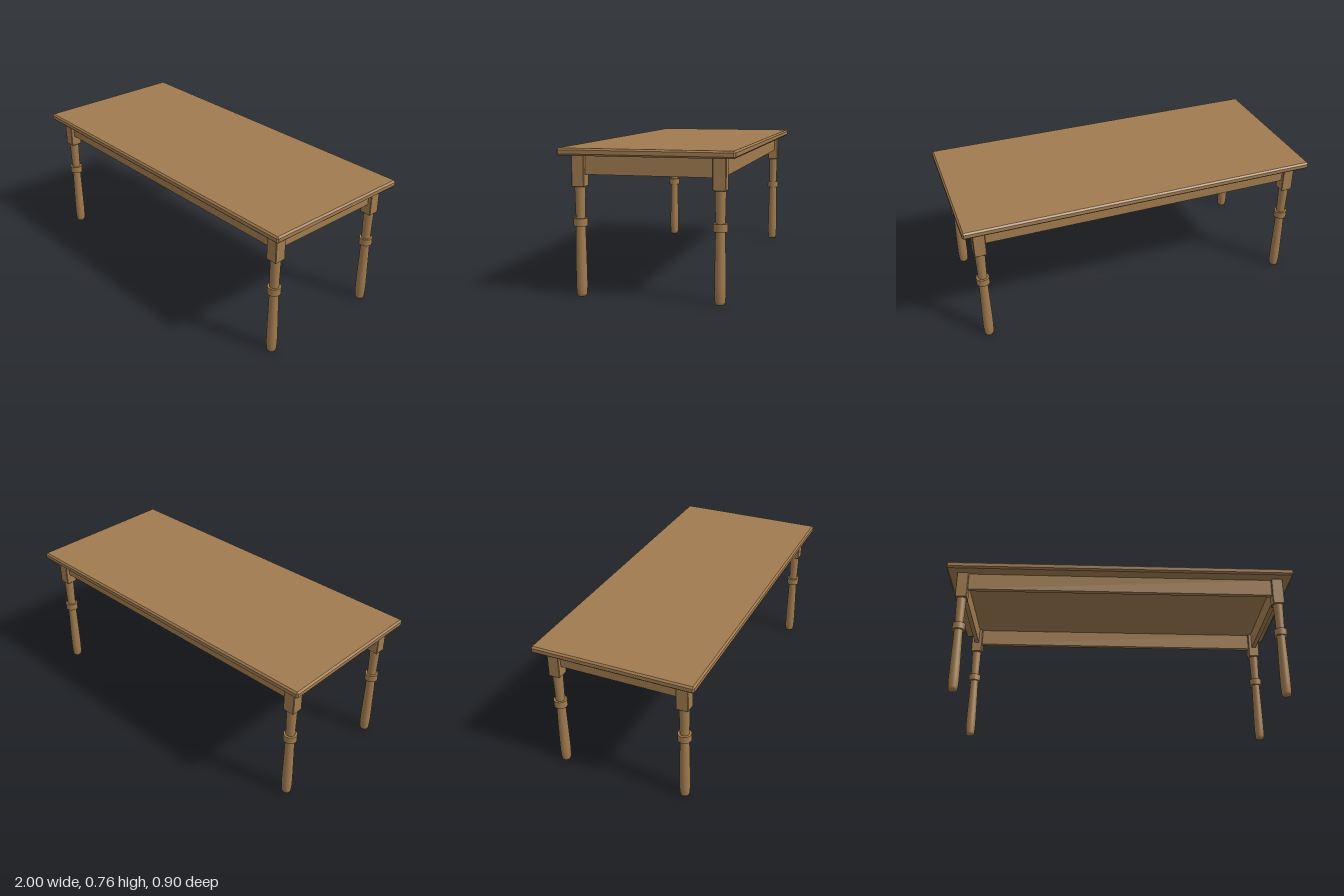
import * as THREE from 'three';
import { ConvexGeometry } from 'three/addons/geometries/ConvexGeometry.js';

const SIGNS = [-1, 1];

// Box with every edge and corner cut by a flat bevel
function bevelledBox(w, h, d, bevel) {
  const points = [];
  for (const x of SIGNS) for (const y of SIGNS) for (const z of SIGNS) {
    for (let axis = 0; axis < 3; axis++) {
      const half = [w / 2, h / 2, d / 2].map((v, i) => (i === axis ? v : v - bevel));
      points.push(new THREE.Vector3(x * half[0], y * half[1], z * half[2]));
    }
  }
  return new ConvexGeometry(points);
}

function turned(profile) {
  return new THREE.LatheGeometry(profile.map(([r, y]) => new THREE.Vector2(r, y)), 32);
}

export function createModel() {
  const table = new THREE.Group();
  table.name = 'diningTable';
  const wood = new THREE.MeshStandardMaterial({ color: 0xa07b4f });
  wood.name = 'warm brown wood';

  const add = (parent, name, geometry, x = 0, y = 0, z = 0) => {
    const mesh = new THREE.Mesh(geometry, wood);
    mesh.name = name;
    mesh.position.set(x, y, z);
    parent.add(mesh);
  };

  const legX = 0.91, legZ = 0.36, topY = 0.722, block = 0.066;

  // Table top
  add(table, 'tableTop', bevelledBox(2, 0.038, 0.896, 0.009), 0, topY + 0.019, 0);

  // Aprons run between the leg blocks
  const apronH = 0.098, apronT = 0.026, apronY = topY - apronH / 2;
  const longApron = new THREE.BoxGeometry(2 * legX - block + 0.01, apronH, apronT);
  const shortApron = new THREE.BoxGeometry(apronT, apronH, 2 * legZ - block + 0.01);
  for (const s of SIGNS) {
    add(table, s > 0 ? 'frontApron' : 'backApron', longApron, 0, apronY, s * legZ);
    add(table, s > 0 ? 'leftApron' : 'rightApron', shortApron, s * legX, apronY, 0);
  }

  // Turned leg pieces
  const blockGeometry = bevelledBox(block, 0.16, block, 0.003);
  const lower = turned([[0, 0], [0.0245, 0], [0.0265, 0.015], [0.0285, 0.045], [0.029, 0.075],
    [0.0285, 0.13], [0.027, 0.22], [0.0255, 0.3], [0.0245, 0.365]]);
  const collar = turned([[0.02, 0.362], [0.036, 0.362], [0.036, 0.362], [0.036, 0.402],
    [0.036, 0.402], [0.02, 0.402]]);
  const neck = turned([[0.0245, 0.4], [0.0255, 0.45], [0.027, 0.52], [0.028, 0.565]]);

  for (const x of SIGNS) for (const z of SIGNS) {
    const leg = new THREE.Group();
    leg.name = (z > 0 ? 'front' : 'back') + (x > 0 ? 'Left' : 'Right') + 'Leg';
    leg.position.set(x * legX, 0, z * legZ);
    add(leg, 'legBlock', blockGeometry, 0, topY - 0.08, 0);
    add(leg, 'lowerLeg', lower);
    add(leg, 'legCollar', collar);
    add(leg, 'legNeck', neck);
    table.add(leg);
  }
  return table;
}
